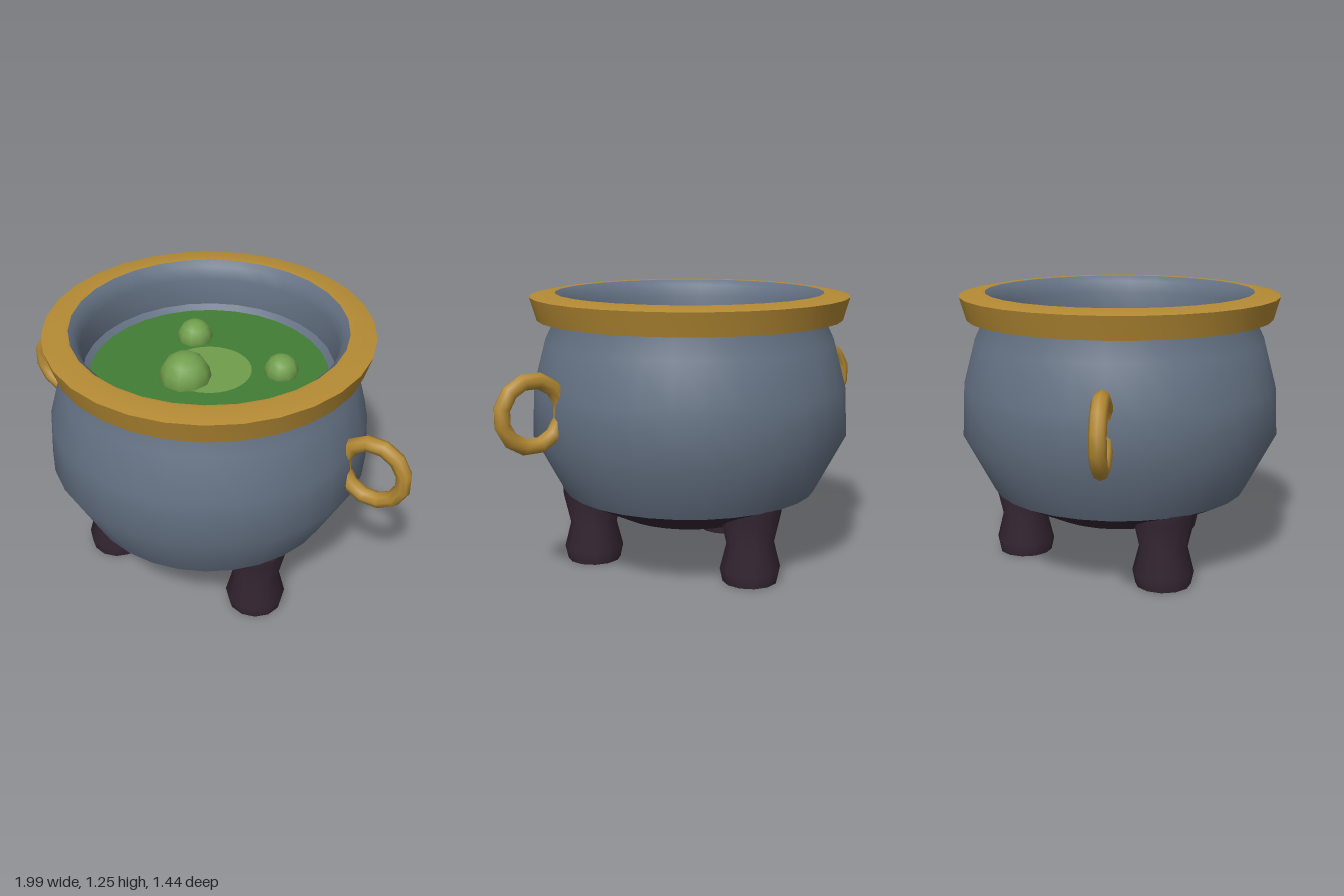
import * as THREE from 'three';
import { toCreasedNormals } from 'three/addons/utils/BufferGeometryUtils.js';

const SIDES = 30;

const paint = (name, color) => {
  const m = new THREE.MeshStandardMaterial({ color });
  m.name = name;
  return m;
};

// Turned shape from [radius, height] pairs, listed so that faces point outward
function turned(profile, sides = SIDES, crease = 0.6) {
  const pts = profile.map(([r, y]) => new THREE.Vector2(r, y));
  const g = new THREE.LatheGeometry(pts, sides);
  g.rotateY(Math.PI / 2);
  return toCreasedNormals(g, crease);
}

export function createModel() {
  const root = new THREE.Group();
  root.name = 'cauldron';

  const iron = paint('blue iron', 0x647183);
  const soot = paint('dark soot', 0x352633);
  const gold = paint('old gold', 0xb48a34);
  const brew = paint('green brew', 0x437d35);
  const foam = paint('light green', 0x709e4c);

  function add(name, geometry, material, x = 0, y = 0, z = 0) {
    const mesh = new THREE.Mesh(geometry, material);
    mesh.name = name;
    mesh.position.set(x, y, z);
    root.add(mesh);
    return mesh;
  }

  // Pot wall: up the outside, over the lip and down the inside
  add('potWall', turned([
    [0.585, 0.345], [0.725, 0.61], [0.715, 0.83], [0.662, 1.03], [0.615, 1.13],
    [0.612, 1.248], [0.585, 1.225], [0.562, 1.17], [0.56, 1.04], [0.525, 1.01],
  ], SIDES, 0.75), iron);

  // Sooty underside
  add('potBase', turned([[0, 0.225], [0.34, 0.225], [0.585, 0.345]], SIDES, 0.9), soot);

  // Flared gold rim
  add('rim', turned([
    [0.608, 1.13], [0.695, 1.132], [0.725, 1.235], [0.63, 1.252], [0.61, 1.25],
  ]), gold);

  // Brew surface with a lighter patch in the middle
  const disc = (r) => new THREE.CircleGeometry(r, SIDES).rotateX(-Math.PI / 2);
  add('brewSurface', disc(0.535), brew, 0, 1.018, 0);
  add('brewGlow', disc(0.19), foam, 0, 1.023, 0);

  // Bubbles
  const bubbles = [[-0.055, 0.11, 0.115], [-0.2, -0.2, 0.081], [0.283, -0.15, 0.077]];
  for (const [x, z, r] of bubbles) {
    add('bubble', new THREE.SphereGeometry(r, 10, 8), foam, x, 1.03, z);
  }

  // Ring handles
  for (const side of [1, -1]) {
    const ring = new THREE.TorusGeometry(0.143, 0.036, 8, 12).rotateZ(Math.PI / 12);
    add(side > 0 ? 'leftHandle' : 'rightHandle', ring, gold, side * 0.823, 0.78, 0);
  }

  // Three stubby legs
  const legProfile = [
    [0, 0], [0.123, 0], [0.136, 0.06], [0.107, 0.175], [0.138, 0.31], [0.14, 0.348], [0, 0.35],
  ];
  for (let i = 0; i < 3; i++) {
    const a = Math.PI / 3 + (i * Math.PI * 2) / 3;
    add('leg', turned(legProfile, 12, 1), soot, Math.sin(a) * 0.453, 0, Math.cos(a) * 0.453);
  }

  return root;
}
